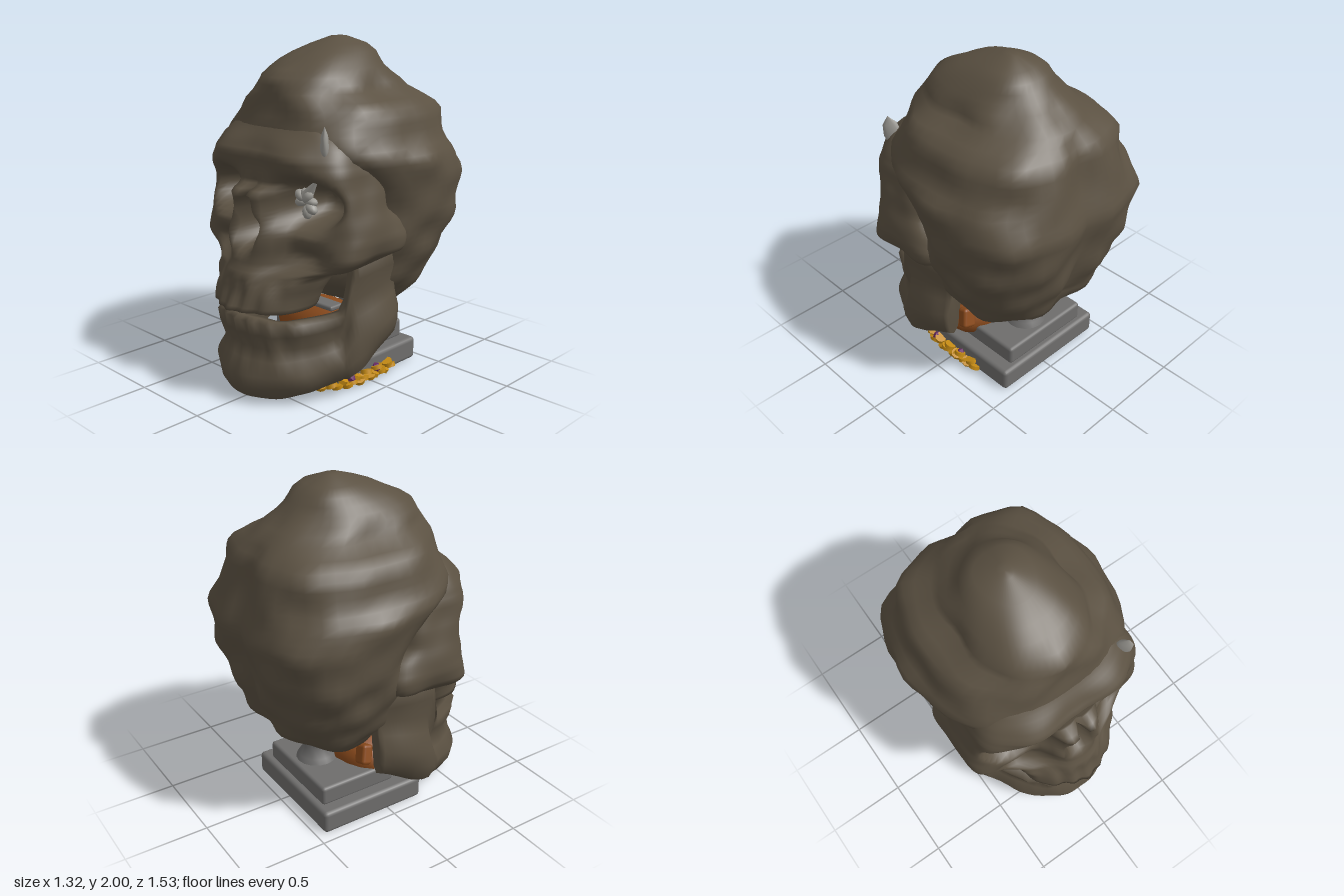
import * as THREE from 'three';
import { RoundedBoxGeometry } from 'three/addons/geometries/RoundedBoxGeometry.js';

const mat = (color) => new THREE.MeshStandardMaterial({ color, side: THREE.DoubleSide });
const BONE = mat(0x5b5142), STONE = mat(0x6e6d6c), ORANGE = mat(0x8a4a1c);
const GOLD = mat(0xc48a14), PURPLE = mat(0x6a2a66), PALE = mat(0x9a9892);

// Closed skin over a list of rings, each an array of [x, y, z]
function skin(rings) {
  const n = rings[0].length, m = rings.length, pos = [], idx = [];
  rings.forEach((r) => r.forEach((p) => pos.push(...p)));
  for (const r of [rings[0], rings[m - 1]]) {
    pos.push(...[0, 1, 2].map((k) => r.reduce((s, p) => s + p[k], 0) / n));
  }
  for (let j = 0; j < n; j++) {
    const k = (j + 1) % n, top = (m - 1) * n;
    for (let i = 0; i < m - 1; i++) {
      const a = i * n + j, b = i * n + k, c = b + n, d = a + n;
      idx.push(a, d, b, b, d, c);
    }
    idx.push(m * n, j, k, m * n + 1, top + k, top + j);
  }
  const g = new THREE.BufferGeometry();
  g.setAttribute('position', new THREE.Float32BufferAttribute(pos, 3));
  g.setIndex(idx);
  g.computeVertexNormals();
  return g;
}

// Linear lookup in a table whose first column is the key
function lookup(table, y) {
  let i = 0;
  while (i < table.length - 2 && table[i + 1][0] < y) i++;
  const a = table[i], b = table[i + 1], t = (y - a[0]) / (b[0] - a[0]);
  return a.map((v, k) => v + (b[k] - v) * t);
}

// Hammered unevenness, mirrored in x
const lump = (x, y, z) => Math.sin(Math.abs(x) * 15 + y * 3) * Math.sin(y * 15 + 1 + z * 3) * Math.cos(z * 14 - y * 3);

// Horizontal superellipse rings; rows are [y, half width, z front, z back, exponent, ...]
function loft(table, levels, segs, deform) {
  const y0 = table[0][0], y1 = table[table.length - 1][0], rings = [];
  for (let i = 0; i <= levels; i++) {
    const y = y0 + (y1 - y0) * i / levels, row = lookup(table, y);
    const [, w, zf, zb, n] = row, ring = [];
    for (let j = 0; j < segs; j++) {
      const a = j / segs * Math.PI * 2, c = Math.cos(a), s = Math.sin(a);
      const r = (Math.abs(c) ** n + Math.abs(s) ** n) ** (-1 / n);
      ring.push(deform(c * r * w, y, (zf + zb) / 2 + s * r * (zf - zb) / 2, row, c, s));
    }
    rings.push(ring);
  }
  return skin(rings);
}

function cranium() {
  const table = [
    [0.42, 0.18, -0.08, -0.3, 2.2], [0.46, 0.36, 0.02, -0.42, 2.4], [0.6, 0.46, 0.16, -0.59, 2.5],
    [0.8, 0.55, 0.18, -0.67, 2.5], [1.0, 0.61, 0.18, -0.72, 2.6], [1.22, 0.63, 0.25, -0.76, 2.7],
    [1.36, 0.64, 0.44, -0.71, 2.7], [1.44, 0.57, 0.49, -0.69, 2.7], [1.6, 0.53, 0.44, -0.66, 2.5],
    [1.66, 0.47, 0.43, -0.61, 2.4], [1.7, 0.36, 0.43, -0.56, 2.3], [1.8, 0.31, 0.4, -0.43, 2.2],
    [1.86, 0.26, 0.29, -0.37, 2.1], [1.92, 0.21, 0.17, -0.32, 2], [1.97, 0.14, 0.04, -0.25, 2],
    [2.0, 0.04, -0.06, -0.16, 2],
  ];
  return loft(table, 38, 48, (x, y, z, row, c, s) => {
    const d = 0.026 * lump(x, y, z) * Math.min(1, row[1] * 3);
    // shallow groove down the middle of the back
    const groove = s < 0 && y > 0.6 && y < 1.7 ? 0.05 * Math.exp(-((x / 0.09) ** 2)) : 0;
    return [x + d * c, y, z + d * s + groove];
  });
}

// Brow, sockets, cheekbones, nose and upper jaw; last column is the bulge along the middle
function face() {
  const table = [
    [0.53, 0.26, 0.66, 0.22, 2.1, 0], [0.55, 0.31, 0.755, 0.18, 2, 0], [0.65, 0.335, 0.72, 0.16, 2, 0],
    [0.75, 0.39, 0.62, 0.15, 2.3, 0.08], [0.79, 0.52, 0.53, 0.02, 3.5, 0.14], [0.86, 0.6, 0.49, -0.1, 5, 0.17],
    [0.94, 0.61, 0.49, -0.12, 5, 0.17], [1.03, 0.59, 0.49, -0.1, 5, 0.15], [1.1, 0.57, 0.48, -0.02, 4.5, 0.18],
    [1.19, 0.56, 0.48, 0, 4, 0.2], [1.23, 0.55, 0.5, 0, 3.6, 0.05], [1.32, 0.53, 0.56, 0, 3.1, 0],
    [1.39, 0.49, 0.58, 0.05, 2.8, 0], [1.46, 0.44, 0.53, 0.1, 2.5, 0], [1.53, 0.36, 0.46, 0.2, 2.3, 0],
    [1.6, 0.2, 0.41, 0.25, 2.2, 0],
  ];
  return loft(table, 46, 96, (x, y, z, row, c, s) => {
    if (s > 0) {
      const front = THREE.MathUtils.smoothstep(s, 0.05, 0.5);
      const eye = (((Math.abs(x) - 0.32) / 0.165) ** 2 + ((y - 1.13) / 0.125) ** 2) ** 2;
      const half = 0.04 + 0.17 * Math.max(0, 1.18 - y);
      const nose = ((x / half) ** 2 + ((y - 1.04) / 0.15) ** 2) ** 2;
      z += row[5] * Math.exp(-((x / 0.18) ** 4));
      z -= front * (0.28 * Math.exp(-eye) + 0.32 * Math.exp(-nose));
      // hollow under the cheekbone and tooth ridges
      z -= front * 0.06 * Math.exp(-(((Math.abs(x) - 0.34) / 0.09) ** 2) - ((y - 0.84) / 0.06) ** 2);
      if (y < 0.72) z += 0.008 * Math.cos(x * 62);
    }
    const d = 0.018 * lump(x, y, z);
    return [x + d * c, y, z + d * s];
  });
}

// Horseshoe jaw: a cross-section swept from one ramus round the chin to the other
function jaw() {
  // x, z, bottom, top
  const half = [
    [0.47, -0.1, 0.29, 0.84], [0.5, 0.02, 0.23, 0.86], [0.5, 0.16, 0.16, 0.86], [0.48, 0.26, 0.12, 0.84],
    [0.44, 0.32, 0.1, 0.53], [0.35, 0.47, 0.05, 0.5], [0.24, 0.61, 0.02, 0.49], [0.12, 0.67, 0.01, 0.5],
  ];
  const all = [...half, [0, 0.69, 0, 0.5], ...half.map(([x, ...r]) => [-x, ...r]).reverse()];
  const path = new THREE.CatmullRomCurve3(all.map((p) => new THREE.Vector3(p[0], 0, p[1])));
  const heights = new THREE.CatmullRomCurve3(all.map((p) => new THREE.Vector3(p[2], p[3], 0)));
  // outward offset, fraction down from the top
  const section = [
    [-0.03, 0], [0.015, 0.03], [0.01, 0.18], [-0.02, 0.36], [0.0, 0.5], [0.035, 0.66], [0.02, 0.82],
    [-0.01, 0.95], [-0.05, 1], [-0.09, 0.95], [-0.11, 0.6], [-0.1, 0.3], [-0.085, 0.03],
  ];
  const rings = [];
  for (let i = 0; i <= 64; i++) {
    const t = i / 64, p = path.getPoint(t), q = path.getTangent(t), h = heights.getPoint(t);
    rings.push(section.map(([u, v]) => {
      const y = h.y + (h.x - h.y) * v;
      const teeth = v < 0.4 && u > -0.025 && Math.abs(p.x) < 0.33 ? 0.01 * Math.cos(p.x * 62) : 0;
      const o = u + teeth + 0.018 * lump(p.x, y, p.z);
      return [p.x + q.z * o, Math.max(0, y), p.z - q.x * o];
    }));
  }
  return skin(rings);
}

export function createModel() {
  const model = new THREE.Group();
  const add = (name, geo, material, x = 0, y = 0, z = 0, parent = model) => {
    const mesh = new THREE.Mesh(geo, material);
    mesh.name = name;
    mesh.position.set(x, y, z);
    parent.add(mesh);
    return mesh;
  };
  add('cranium', cranium(), BONE);
  add('face', face(), BONE);
  add('lowerJaw', jaw(), BONE);

  // Stepped plinth and neck post
  add('plinthBase', new RoundedBoxGeometry(0.79, 0.14, 0.69, 2, 0.025), STONE, -0.045, 0.07, -0.105);
  add('plinthStep', new RoundedBoxGeometry(0.62, 0.12, 0.5, 2, 0.02), STONE, -0.045, 0.19, -0.16);
  const post = [[0.13, 0.24], [0.11, 0.28], [0.075, 0.33], [0.08, 0.4], [0.12, 0.44], [0.12, 0.5]];
  add('neckPost', new THREE.LatheGeometry(post.map((p) => new THREE.Vector2(...p)), 16), STONE, -0.02, 0, -0.25);

  // Cloth in the throat, straps behind the jaw, and scraps in the mouth
  const cloth = add('throatCloth', new THREE.SphereGeometry(1, 20, 12), ORANGE, 0, 0.26, 0.01);
  cloth.scale.set(0.36, 0.17, 0.19);
  for (const s of [-1, 1]) {
    const strap = add('strap', new RoundedBoxGeometry(0.09, 0.12, 0.07, 2, 0.02), ORANGE, s * 0.36, 0.4, -0.13);
    strap.rotation.set(0.3, 0, s * 0.3);
    add('strapEnd', new RoundedBoxGeometry(0.08, 0.06, 0.06, 2, 0.02), ORANGE, s * 0.26 - 0.04, 0.18, -0.19);
  }
  add('mouthScrap', new RoundedBoxGeometry(0.22, 0.05, 0.1, 2, 0.02), ORANGE, -0.1, 0.515, 0.24);
  add('mouthPlate', new RoundedBoxGeometry(0.28, 0.03, 0.1, 2, 0.012), STONE, 0.19, 0.51, 0.24);

  // Gold trinkets heaped along the front and left edges of the plinth
  const trinkets = new THREE.Group();
  trinkets.name = 'trinkets';
  model.add(trinkets);
  const trail = new THREE.CatmullRomCurve3([[0.36, -0.19], [0.365, 0], [0.35, 0.2], [0.24, 0.32], [0, 0.34], [-0.22, 0.29]]
    .map(([x, z]) => new THREE.Vector3(x, 0, z)));
  for (let i = 0; i < 34; i++) {
    const p = trail.getPointAt(i / 33);
    const coin = add('coin', new THREE.CylinderGeometry(0.036, 0.036, 0.024, 10), GOLD,
      p.x, 0.032 + 0.03 * (i % 3 === 1), p.z, trinkets);
    coin.rotation.set(0.4 * Math.sin(i * 2.3), 0, 0.4 * Math.cos(i * 1.7));
    if (i % 7 === 3) add('gem', new THREE.IcosahedronGeometry(0.03, 0), PURPLE, p.x, 0.06, p.z + 0.03, trinkets);
  }

  // Flat leaf-shaped spike above the left brow
  const blade = [[0, -0.1], [0.04, -0.07], [0.053, -0.02], [0.042, 0.05], [0, 0.1]];
  const spike = add('browSpike', new THREE.LatheGeometry(blade.map((p) => new THREE.Vector2(...p)), 12), PALE, 0.405, 1.475, 0.42);
  spike.scale.z = 0.45;
  spike.rotation.set(0, -Math.PI / 4, -0.2);

  // Knotted ornament in the left eye socket
  const knot = new THREE.Group();
  knot.name = 'eyeOrnament';
  knot.position.set(0.24, 1.14, 0.39);
  model.add(knot);
  for (let i = 0; i < 7; i++) {
    const a = i * 2.4, r = 0.035 + 0.012 * (i % 3);
    const lobe = add('lobe', new THREE.SphereGeometry(0.034, 10, 8), PALE, r * Math.cos(a), r * Math.sin(a), 0.012 * (i % 2), knot);
    lobe.scale.set(1.2, 0.8, 0.9);
    lobe.rotation.z = a;
  }
  const leaf = add('leaf', new THREE.ConeGeometry(0.035, 0.14, 8), PALE, 0.05, 0.09, 0, knot);
  leaf.rotation.z = -0.7;
  return model;
}
